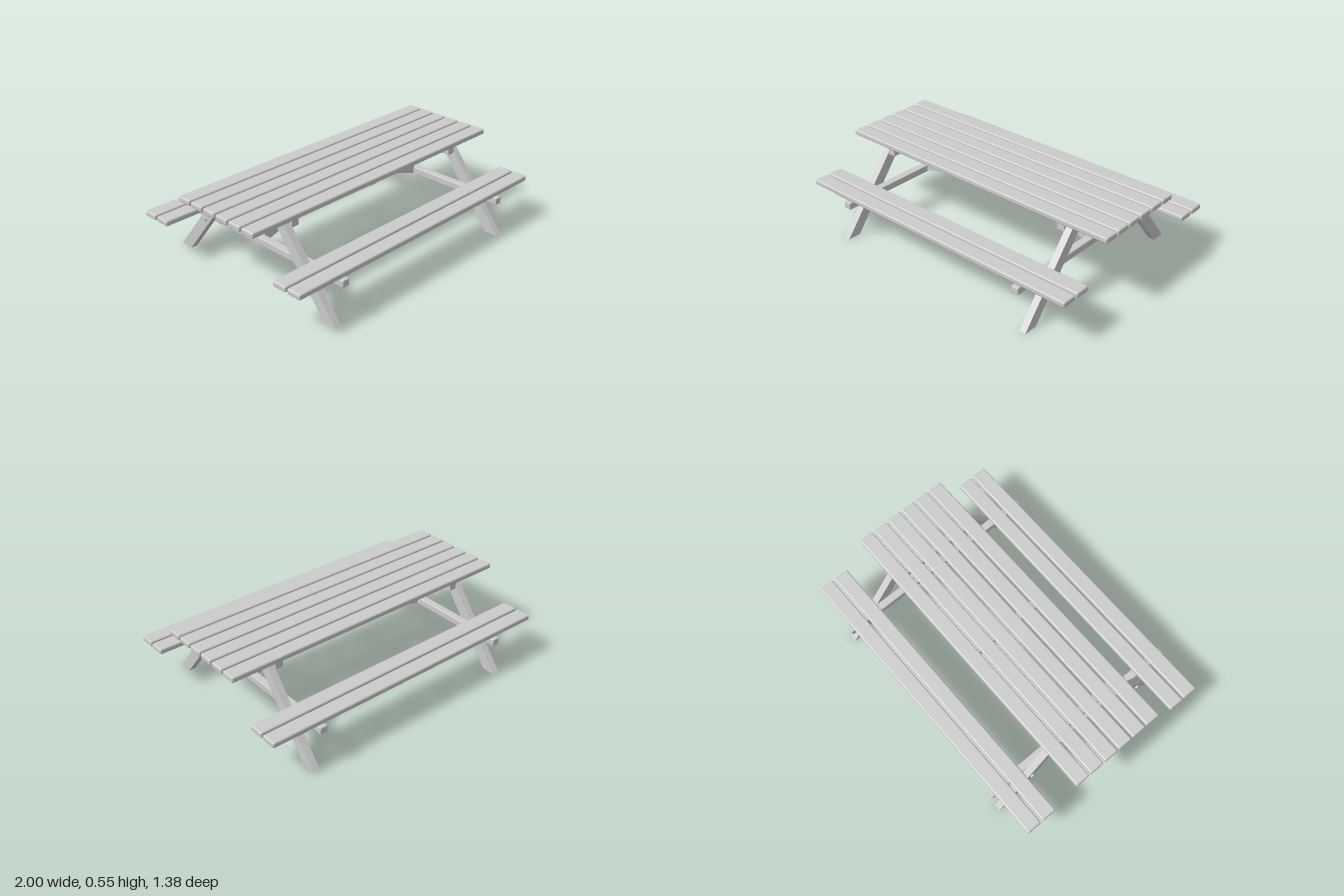
import * as THREE from 'three';
import { RoundedBoxGeometry } from 'three/addons/geometries/RoundedBoxGeometry.js';

const wood = new THREE.MeshStandardMaterial({ color: 0xcccccc });

export function createModel() {
  const model = new THREE.Group();

  const add = (name, geometry, x = 0, y = 0, z = 0) => {
    const mesh = new THREE.Mesh(geometry, wood);
    mesh.name = name;
    mesh.position.set(x, y, z);
    model.add(mesh);
    return mesh;
  };

  // Flat outline cut from a board of the given thickness, centred on its plane
  const board = (points, thickness) => {
    const shape = new THREE.Shape(points.map(([a, b]) => new THREE.Vector2(a, b)));
    return new THREE.ExtrudeGeometry(shape, { depth: thickness, bevelEnabled: false })
      .translate(0, 0, -thickness / 2);
  };

  // Tabletop: six eased planks
  for (let i = 0; i < 6; i++) {
    add('tablePlank', new RoundedBoxGeometry(2, 0.036, 0.096, 3, 0.01), 0, 0.528, (i - 2.5) * 0.108);
  }

  // Middle batten under the tabletop
  add('middleBatten', new THREE.BoxGeometry(0.05, 0.048, 0.5), 0, 0.486, 0);

  for (const side of [-1, 1]) {
    // Bench seats: two planks front and back
    for (const z of [0.512, 0.623]) {
      add('seatPlank', new RoundedBoxGeometry(2, 0.036, 0.098, 3, 0.01), 0, 0.307, side * z);
    }

    // Cross beams carrying the tabletop and the seats
    add('tableBeam', new THREE.BoxGeometry(0.05, 0.048, 0.6), side * 0.678, 0.486, 0);
    add('seatBeam', new RoundedBoxGeometry(0.05, 0.046, 1.38, 3, 0.006), side * 0.678, 0.264, 0);

    // Diagonal brace from the middle batten down to the seat beam
    const brace = add('brace', board([[0.015, 0.505], [0.015, 0.453], [0.66, 0.24], [0.69, 0.24], [0.655, 0.3]], 0.034));
    if (side < 0) brace.rotation.y = Math.PI;

    for (const end of [-1, 1]) {
      // Splayed leg, cut level at the floor and under the top
      const leg = board([[0.589, 0], [0.678, 0], [0.272, 0.508], [0.183, 0.508]], 0.044);
      add('leg', leg, side * 0.727, 0, 0).rotation.y = -end * Math.PI / 2;

      // Bolt heads on the outer face of the leg
      for (const [y, z] of [[0.485, 0.244], [0.263, 0.423]]) {
        const bolt = new THREE.CylinderGeometry(0.014, 0.014, 0.014, 16).rotateZ(Math.PI / 2);
        add('bolt', bolt, side * 0.754, y, end * z);
      }
    }
  }

  return model;
}
